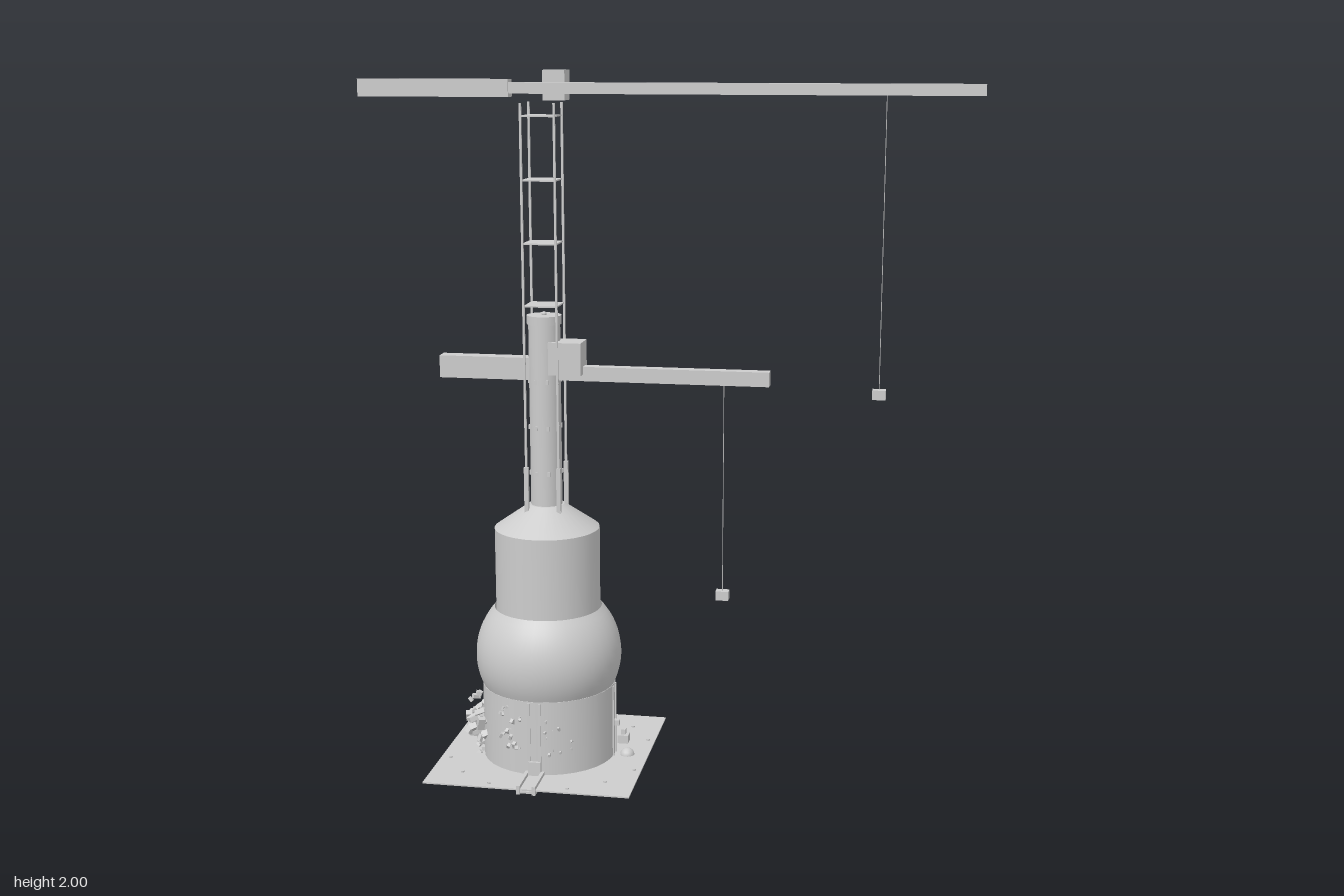
import * as THREE from 'three';

export function createModel() {
  const model = new THREE.Group();
  const grey = new THREE.MeshStandardMaterial({ color: 0xcccccc, side: THREE.DoubleSide });
  grey.name = 'light grey';
  const AXIS = -0.335;

  const add = (name, geometry, x = 0, y = 0, z = 0, parent = model) => {
    const mesh = new THREE.Mesh(geometry, grey);
    mesh.name = name;
    mesh.position.set(x, y, z);
    parent.add(mesh);
    return mesh;
  };
  // Box given by its limits on each axis
  const span = (name, x0, x1, y0, y1, z0, z1, parent = model) =>
    add(name, new THREE.BoxGeometry(x1 - x0, y1 - y0, z1 - z0),
      (x0 + x1) / 2, (y0 + y1) / 2, (z0 + z1) / 2, parent);
  // Upright round part, from y0 to y1
  const round = (name, r0, r1, y0, y1, x, z, parent, sides = 32) =>
    add(name, new THREE.CylinderGeometry(r1, r0, y1 - y0, sides), x, (y0 + y1) / 2, z, parent);

  // Everything on the tower axis sits in one group
  const tower = new THREE.Group();
  tower.name = 'tower';
  tower.position.x = AXIS;
  model.add(tower);

  // Ground plate, rails and anchor bolts
  span('groundPlate', -0.295, 0.288, 0.066, 0.07, -0.297, 0.292, tower);
  for (const x of [-0.022, 0.022]) {
    span('rail', x - 0.005, x + 0.005, 0.055, 0.08, -0.3, 0.295, tower);
  }
  span('railBed', -0.022, 0.022, 0.058, 0.064, -0.297, 0.292, tower);
  for (let i = 0; i < 16; i++) {
    if (i % 4 === 0) continue;
    const a = (i * Math.PI) / 8;
    round('plateBolt', 0.005, 0.005, 0.062, 0.074, 0.29 * Math.cos(a), 0.29 * Math.sin(a), tower, 8);
  }
  for (const x of [-0.09, 0, 0.09]) round('anchorPin', 0.0015, 0.0015, 0, 0.066, x, 0, tower, 6);

  // Main vessel: drum, bulb, upper drum and shoulder
  round('baseDrum', 0.19, 0.19, 0.07, 0.285, 0, 0, tower);
  const bulb = [];
  for (let i = 0; i <= 14; i++) {
    const y = 0.28 + (0.23 * i) / 14;
    bulb.push(new THREE.Vector2(Math.sqrt(0.207 ** 2 - (y - 0.37) ** 2), y));
  }
  add('bulb', new THREE.LatheGeometry(bulb, 36), 0, 0, 0, tower);
  round('upperDrum', 0.148, 0.148, 0.5, 0.74, 0, 0, tower);
  round('shoulder', 0.148, 0.05, 0.74, 0.808, 0, 0, tower);

  // Vertical ribs around the base drum
  for (let i = 0; i < 4; i++) {
    const a = (i * Math.PI) / 2;
    for (const s of [-0.015, 0.015]) {
      const rib = span('drumRib', -0.004, 0.004, 0.07, 0.28, -0.004, 0.004, tower);
      rib.position.x = 0.188 * Math.cos(a) - s * Math.sin(a);
      rib.position.z = 0.188 * Math.sin(a) + s * Math.cos(a);
    }
  }

  // Column with its cap
  round('column', 0.044, 0.044, 0.8, 1.335, 0, 0, tower);
  round('columnCap', 0.048, 0.048, 1.318, 1.342, 0, 0, tower);
  add('capKnob', new THREE.SphereGeometry(0.007, 10, 8), 0, 1.345, 0, tower);
  for (let i = 0; i < 8; i++) {
    const a = (i * Math.PI) / 4 + Math.PI / 8;
    for (const y of [0.9, 1.03, 1.16]) {
      add('columnStud', new THREE.BoxGeometry(0.008, 0.012, 0.008),
        0.043 * Math.cos(a), y, 0.043 * Math.sin(a), tower);
    }
  }

  // Lattice mast: corner posts and landing plates
  for (const x of [-0.046, 0.046]) {
    for (const z of [-0.046, 0.046]) {
      span('mastPost', x - 0.003, x + 0.003, 0.79, 1.915, z - 0.003, z + 0.003, tower);
      span('postFoot', x - 0.006, x + 0.006, 0.79, 0.92, z - 0.006, z + 0.006, tower);
    }
  }
  for (const y of [1.37, 1.54, 1.71, 1.88]) {
    span('mastLanding', -0.046, 0.046, y - 0.002, y + 0.002, -0.046, 0.046, tower);
  }

  // Two cranes, each with counter jib, jib, cab, cable and hook
  const crane = (name, c) => {
    const g = new THREE.Group();
    g.name = name;
    model.add(g);
    span('counterJib', ...c.counter, -0.021, 0.021, g);
    span('jib', ...c.jib, -0.016, 0.016, g);
    span('cab', ...c.cab, g);
    const [x, y, top] = c.hook;
    span('hookBlock', x - 0.018, x + 0.018, y - 0.013, y + 0.013, -0.013, 0.013, g);
    round('cable', 0.001, 0.001, y, top, x, 0, g, 4);
  };
  crane('upperCrane', {
    counter: [-0.84, -0.42, 1.929, 1.976],
    jib: [-0.42, 0.838, 1.938, 1.968],
    cab: [-0.335, -0.274, 1.92, 2, -0.08, -0.018],
    hook: [0.585, 1.15, 1.94],
  });
  crane('lowerCrane', {
    counter: [-0.63, -0.335, 1.162, 1.224],
    jib: [-0.335, 0.29, 1.163, 1.203],
    cab: [-0.315, -0.224, 1.182, 1.272, -0.035, 0.045],
    hook: [0.165, 0.565, 1.165],
  });

  // Valve gear on the model's left side of the drum
  add('valveBall', new THREE.SphereGeometry(0.021, 14, 10), -0.108, 0.068, 0);
  span('valveBox', -0.133, -0.103, 0.108, 0.132, -0.016, 0.016);
  span('valveTop', -0.124, -0.112, 0.132, 0.147, -0.008, 0.008);
  span('valveBracket', -0.148, -0.13, 0.158, 0.174, -0.008, 0.008);
  span('backVent', -0.37, -0.3, 0.255, 0.285, -0.205, -0.18);
  span('frontDoor', -0.352, -0.318, 0.07, 0.11, 0.185, 0.198);

  // Clusters of pipes and small fittings on the drum wall
  let seed = 11;
  const rnd = () => (seed = (seed * 16807) % 2147483647) / 2147483647;
  const fittings = (name, count, angle, spread, y, height, size, depth) => {
    for (let i = 0; i < count; i++) {
      const a = angle + (rnd() - 0.5) * spread;
      const r = 0.188 + rnd() * depth;
      const s = size * (0.5 + rnd());
      const part = add(name, new THREE.BoxGeometry(s, s * 0.6, s * 0.5),
        r * Math.cos(a), y + (rnd() - 0.5) * height, r * Math.sin(a), tower);
      part.rotation.set(rnd() * 3, -a, rnd() * 3);
    }
  };
  fittings('sideFitting', 40, Math.PI * 0.95, 0.75, 0.175, 0.09, 0.025, 0.045);
  fittings('lowFitting', 10, Math.PI * 0.92, 0.5, 0.075, 0.05, 0.022, 0.02);
  fittings('frontFitting', 18, Math.PI * 0.62, 0.4, 0.2, 0.13, 0.013, 0.008);
  fittings('wallFitting', 10, Math.PI * 0.4, 0.7, 0.18, 0.1, 0.009, 0.004);
  fittings('rearFitting', 8, -Math.PI * 0.35, 0.4, 0.26, 0.03, 0.014, 0.012);

  return model;
}
